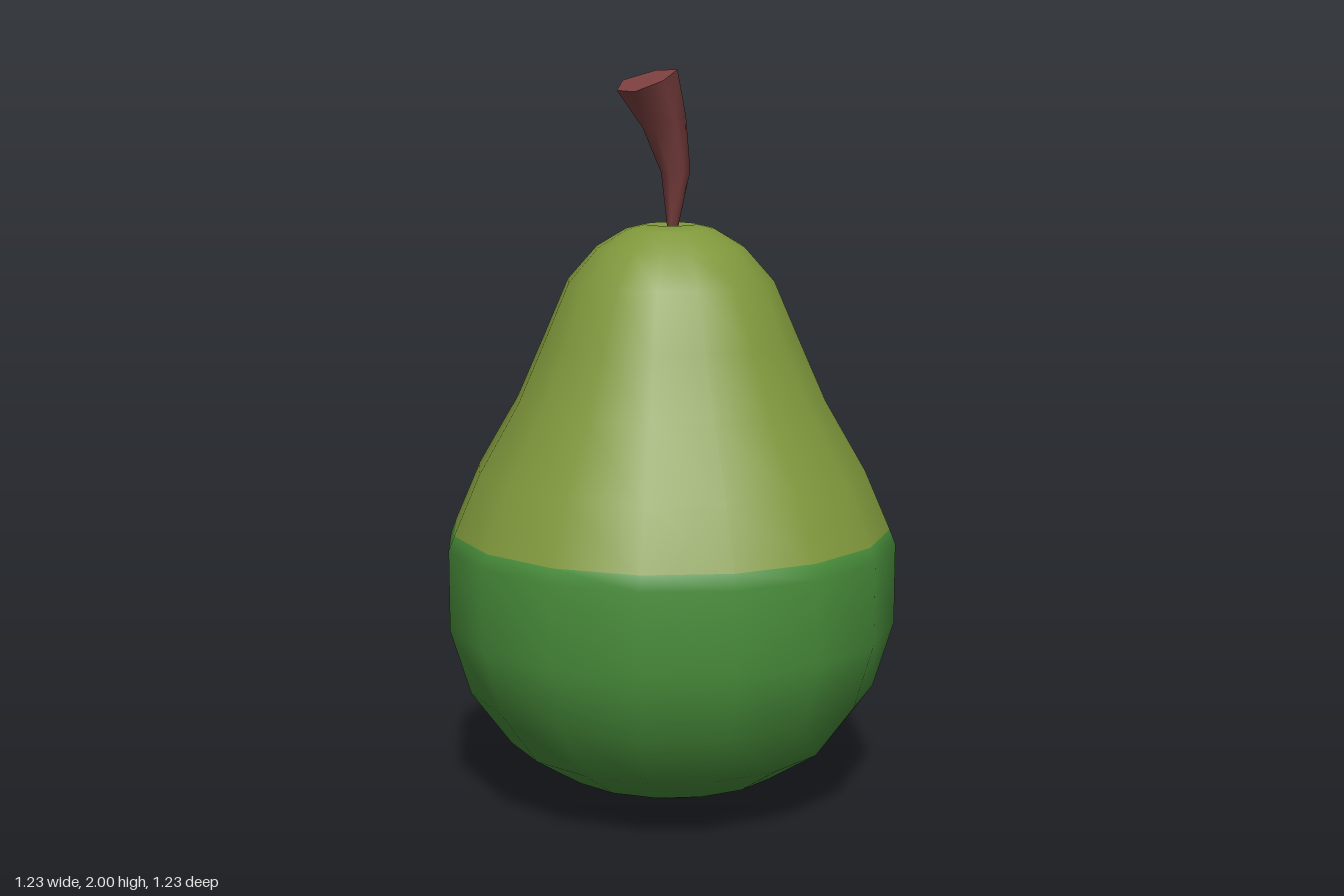
import * as THREE from 'three';

const material = (name, color) => {
  const m = new THREE.MeshStandardMaterial({ color });
  m.name = name;
  return m;
};

// Pear outline from the bottom tip to the dimple at the top: [radius, height]
const PROFILE = [
  [0, 0], [0.16, 0.035], [0.31, 0.09], [0.45, 0.18], [0.56, 0.33], [0.615, 0.51], [0.615, 0.73],
  [0.599, 0.77], [0.53, 0.93], [0.42, 1.12], [0.345, 1.29], [0.28, 1.44], [0.2, 1.53],
  [0.12, 1.578], [0.07, 1.59], [0, 1.572],
];
const SEAM = 7;

// One band of the lathed outline, keeping the smooth normals of the whole body
function bodyBand(from, to) {
  const g = new THREE.LatheGeometry(PROFILE.map(([r, y]) => new THREE.Vector2(r, y)), 16);
  const index = [];
  const old = g.index.array;
  for (let i = 0; i < old.length; i += 3) {
    const tri = [old[i], old[i + 1], old[i + 2]];
    if (tri.every((v) => v % PROFILE.length >= from && v % PROFILE.length <= to)) index.push(...tri);
  }
  g.setIndex(index);
  return g;
}

// Six-sided stem cross-section in (across, depth), listed clockwise from above
const SECTION = [[0, -1], [0.79, -0.31], [0.86, 0.66], [0, 1], [-0.86, 0.66], [-0.79, -0.31]];
// Rings along the stem: centre x, y, z, radius, tilt
const RINGS = [
  [0.005, 1.55, 0.0, 0.013, 0], [0.005, 1.59, 0.0, 0.017, 0], [0.005, 1.73, 0.007, 0.041, 0.05],
  [-0.04, 1.86, 0.012, 0.062, 0.3], [-0.105, 1.97, 0.0175, 0.0875, 0.38],
];
const ringPoints = ([x, y, z, r, tilt]) => SECTION.flatMap(([a, d]) =>
  [x + a * r * Math.cos(tilt), y + a * r * Math.sin(tilt), z + d * r]);

function geometryFrom(points, index) {
  const g = new THREE.BufferGeometry();
  g.setAttribute('position', new THREE.Float32BufferAttribute(points, 3));
  g.setIndex(index);
  g.computeVertexNormals();
  return g;
}

function stemSides() {
  const index = [];
  const n = SECTION.length;
  for (let k = 0; k < RINGS.length - 1; k++) {
    for (let i = 0; i < n; i++) {
      const a = k * n + i, b = k * n + (i + 1) % n;
      index.push(a, a + n, b, b, a + n, b + n);
    }
  }
  return geometryFrom(RINGS.flatMap(ringPoints), index);
}

export function createModel() {
  const group = new THREE.Group();
  group.name = 'pear';
  const olive = material('olive skin', 0x80983c);
  const green = material('green skin', 0x4a903c);
  const brown = material('stem brown', 0x7d4040);

  const add = (name, geometry, mat) => {
    const mesh = new THREE.Mesh(geometry, mat);
    mesh.name = name;
    group.add(mesh);
  };

  // Two-tone body
  add('lowerBody', bodyBand(0, SEAM), green);
  add('upperBody', bodyBand(SEAM, PROFILE.length - 1), olive);

  // Curved stem with a flat cut end
  add('stem', stemSides(), brown);
  const cap = [];
  for (let i = 1; i < SECTION.length - 1; i++) cap.push(0, i + 1, i);
  add('stemEnd', geometryFrom(ringPoints(RINGS[RINGS.length - 1]), cap), brown);

  return group;
}
